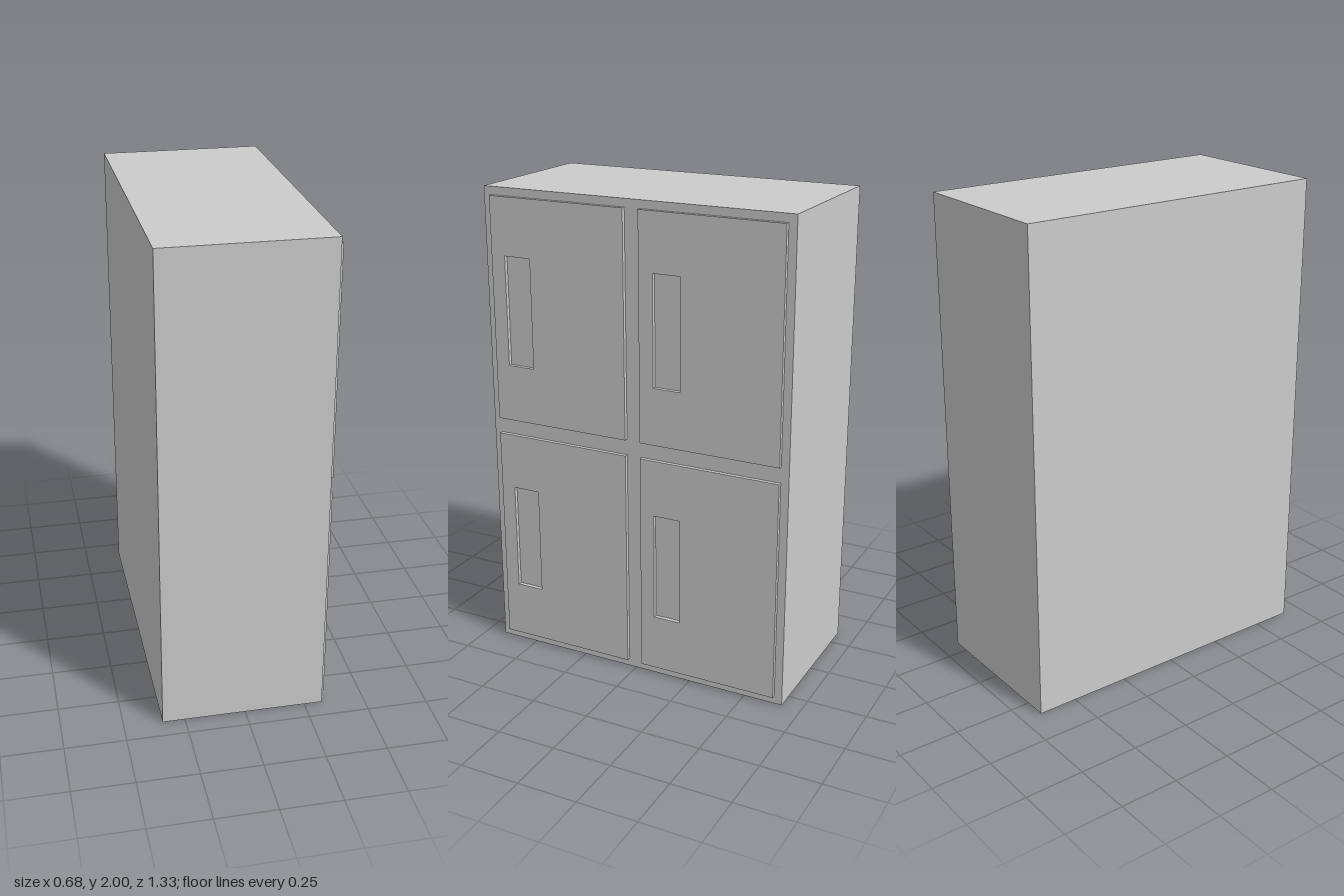
import * as THREE from 'three';

const material = new THREE.MeshStandardMaterial({ color: 0xcccccc, flatShading: true });

// Adds a rectangle centred on (x, y) to a shape or path
function rectangle(path, x, y, w, h) {
  path.moveTo(x - w / 2, y - h / 2);
  path.lineTo(x + w / 2, y - h / 2);
  path.lineTo(x + w / 2, y + h / 2);
  path.lineTo(x - w / 2, y + h / 2);
  path.closePath();
  return path;
}

export function createModel() {
  const group = new THREE.Group();
  group.name = 'lockerCabinet';

  const depth = 0.667, width = 1.333, height = 2, doorThickness = 0.0167;
  const doorPlane = depth / 2 - doorThickness / 2;

  // Cabinet body
  const body = new THREE.Mesh(new THREE.BoxGeometry(depth, height, width), material);
  body.name = 'cabinetBody';
  body.position.set(-doorThickness / 2, height / 2, 0);
  group.add(body);

  // Door panel with a cut-out hand grip, turned to face +x
  const panel = rectangle(new THREE.Shape(), 0, 0, 0.6, 0.933);
  panel.holes.push(rectangle(new THREE.Path(), -0.18, 0, 0.117, 0.457));
  const doorGeometry = new THREE.ExtrudeGeometry(panel, { depth: doorThickness, bevelEnabled: false });
  doorGeometry.rotateY(Math.PI / 2);

  // Two by two doors
  for (const [row, y] of [['lower', 0.5], ['upper', 1.5]]) {
    for (const [column, z] of [['Front', 0.333], ['Back', -0.333]]) {
      const door = new THREE.Mesh(doorGeometry, material);
      door.name = `${row}${column}Door`;
      door.position.set(doorPlane, y, z);
      group.add(door);
    }
  }
  return group;
}
